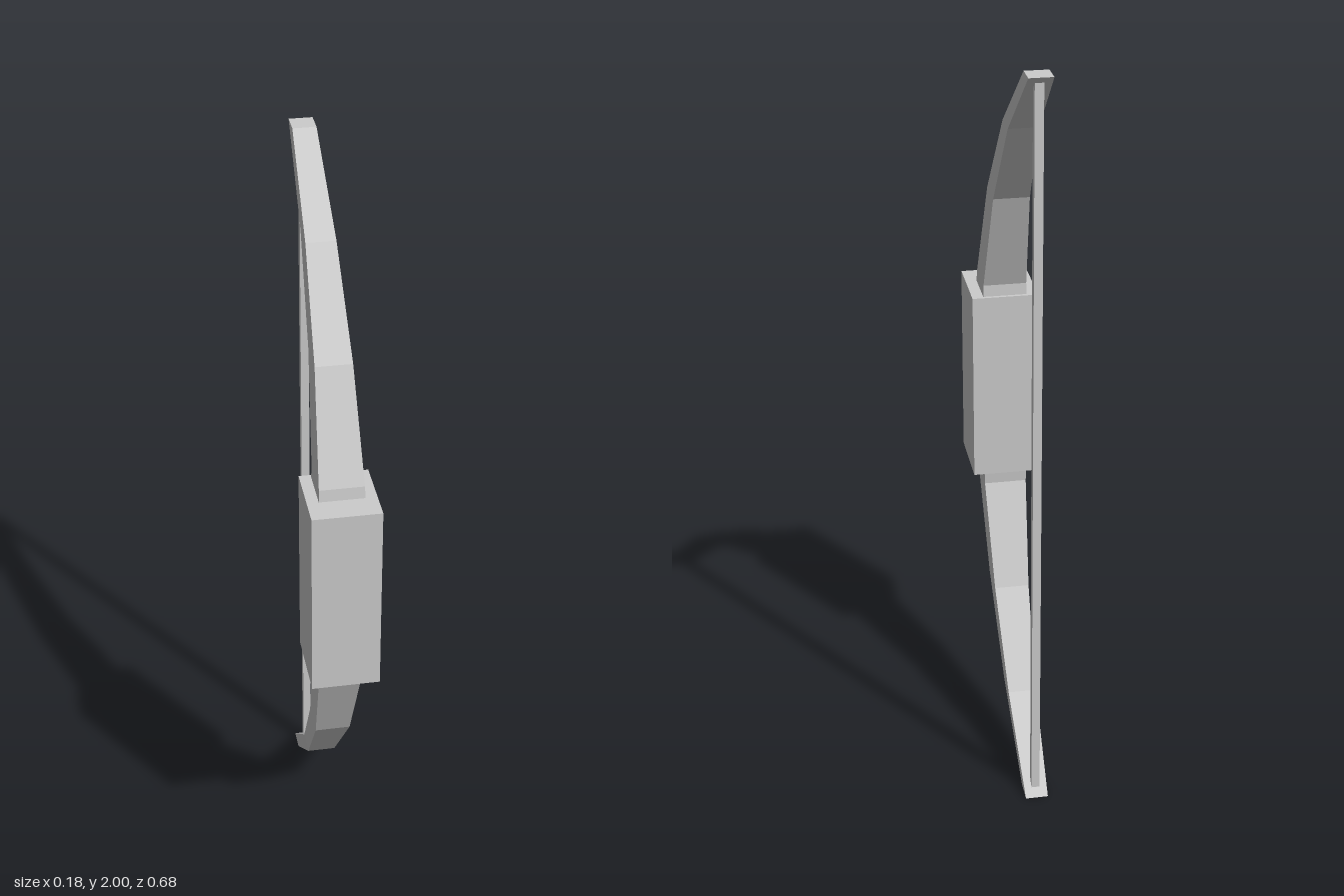
import * as THREE from 'three';

// Lofts rectangular rings { y, front, back, half } into a closed, faceted limb
function loftRings(rings) {
  const pos = [];
  const corners = rings.map(({ y, front, back, half }) => [
    [-half, y, front], [half, y, front], [half, y, back], [-half, y, back],
  ]);
  const quad = (a, b, c, d) => pos.push(...a, ...b, ...c, ...a, ...c, ...d);
  for (let i = 0; i < corners.length - 1; i++) {
    const lo = corners[i], hi = corners[i + 1];
    for (let k = 0; k < 4; k++) {
      const n = (k + 1) % 4;
      quad(lo[k], lo[n], hi[n], hi[k]);
    }
  }
  const first = corners[0], last = corners[corners.length - 1];
  quad(first[3], first[2], first[1], first[0]);
  quad(last[0], last[1], last[2], last[3]);
  const geo = new THREE.BufferGeometry();
  geo.setAttribute('position', new THREE.Float32BufferAttribute(pos, 3));
  geo.computeVertexNormals();
  return geo;
}

export function createModel() {
  const model = new THREE.Group();
  model.name = 'bow';
  const grey = new THREE.MeshStandardMaterial({ color: 0xcccccc });
  grey.name = 'light grey';

  const add = (name, geometry, x, y, z) => {
    const mesh = new THREE.Mesh(geometry, grey);
    mesh.name = name;
    mesh.position.set(x, y, z);
    model.add(mesh);
  };

  // Curved limbs: one half profile, measured from the middle and mirrored
  const upper = [
    { y: 0.262, front: 0.268, back: 0.153, half: 0.058 },
    { y: 0.295, front: 0.263, back: 0.155, half: 0.057 },
    { y: 0.572, front: 0.145, back: 0.052, half: 0.047 },
    { y: 0.809, front: -0.04, back: -0.113, half: 0.038 },
    { y: 1, front: -0.28, back: -0.34, half: 0.03 },
  ];
  const lower = upper.map((r) => ({ ...r, y: -r.y })).reverse();
  add('limbs', loftRings([...lower, ...upper]), 0, 1, 0);

  // Grip block
  add('grip', new THREE.BoxGeometry(0.176, 0.524, 0.196), 0, 1.002, 0.242);

  // Square string between the tips
  add('string', new THREE.BoxGeometry(0.022, 1.97, 0.022), 0, 1, -0.307);

  return model;
}
